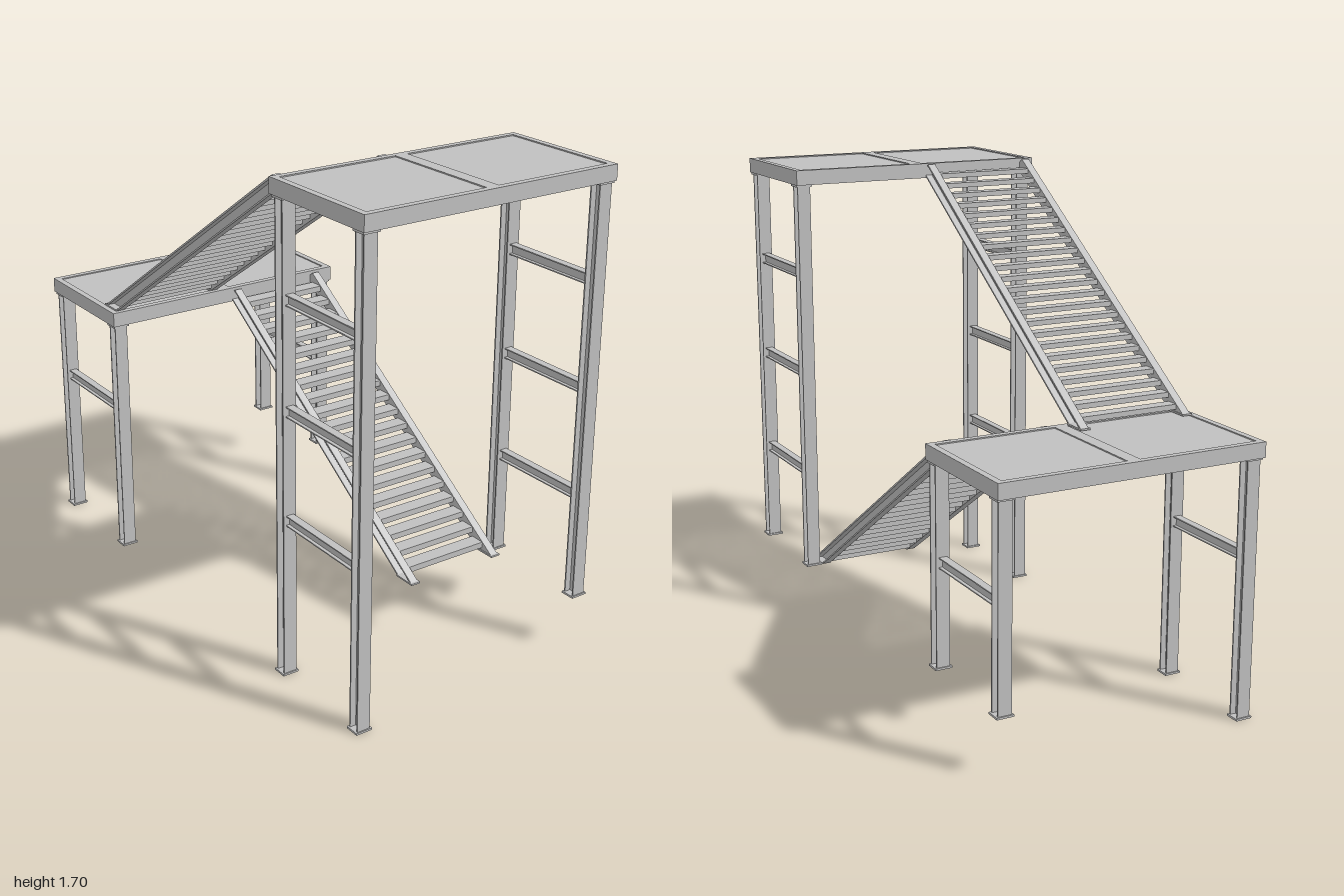
import * as THREE from 'three';

const steel = new THREE.MeshStandardMaterial({ color: 0xc0c0c0 });
steel.name = 'paleGreySteel';

function add(parent, name, geometry) {
  const mesh = new THREE.Mesh(geometry, steel);
  mesh.name = name;
  parent.add(mesh);
  return mesh;
}

function group(parent, name) {
  const g = new THREE.Group();
  g.name = name;
  parent.add(g);
  return g;
}

// Box given by its limits on each axis
function box(parent, name, x0, x1, y0, y1, z0, z1) {
  const g = new THREE.BoxGeometry(x1 - x0, y1 - y0, z1 - z0);
  g.translate((x0 + x1) / 2, (y0 + y1) / 2, (z0 + z1) / 2);
  return add(parent, name, g);
}

// Plate with a (z, y) outline, filling x0..x1
function sidePlate(parent, name, points, x0, x1) {
  const shape = new THREE.Shape(points.map(([z, y]) => new THREE.Vector2(-z, y)));
  const g = new THREE.ExtrudeGeometry(shape, { depth: x1 - x0, bevelEnabled: false });
  g.rotateY(Math.PI / 2);
  g.translate(x0, 0, 0);
  return add(parent, name, g);
}

// Horizontal rectangular ring with the given border width
function ring(parent, name, x0, x1, z0, z1, border, y0, y1) {
  const rect = (T, i) => new T([[x0 + i, -z1 + i], [x1 - i, -z1 + i], [x1 - i, -z0 - i], [x0 + i, -z0 - i]]
    .map(([x, y]) => new THREE.Vector2(x, y)));
  const shape = rect(THREE.Shape, 0);
  shape.holes.push(rect(THREE.Path, border));
  const g = new THREE.ExtrudeGeometry(shape, { depth: y1 - y0, bevelEnabled: false });
  g.rotateX(-Math.PI / 2);
  g.translate(0, y0, 0);
  return add(parent, name, g);
}

// H-section post with base and cap plates
function column(parent, x, z, y0, y1) {
  const c = group(parent, 'column');
  const hx = 0.024, hz = 0.0215, t = 0.005;
  box(c, 'web', x - 0.003, x + 0.003, y0, y1, z - hz + t, z + hz - t);
  for (const s of [-1, 1]) {
    const zc = z + s * (hz - t / 2);
    box(c, 'flange', x - hx, x + hx, y0, y1, zc - t / 2, zc + t / 2);
  }
  box(c, 'basePlate', x - 0.03, x + 0.03, y0, y0 + 0.007, z - 0.026, z + 0.026);
  box(c, 'capPlate', x - 0.03, x + 0.03, y1 - 0.008, y1, z - 0.026, z + 0.026);
}

// I-section rail between two columns
function brace(parent, x, y, z0, z1) {
  const b = group(parent, 'brace');
  const h = 0.0185, w = 0.014, t = 0.004;
  box(b, 'web', x - 0.002, x + 0.002, y - h + t, y + h - t, z0, z1);
  for (const s of [-1, 1]) {
    const yc = y + s * (h - t / 2);
    box(b, 'flange', x - w, x + w, yc - t / 2, yc + t / 2, z0, z1);
  }
}

// Two framed deck bays on four columns
function landing(parent, name, z0, z1, top, columnZ, braceY) {
  const p = group(parent, name);
  const bottom = top - 0.053;
  for (const x0 of [-0.48, 0]) {
    const x1 = x0 + 0.48;
    const bay = group(p, 'deckBay');
    ring(bay, 'frameWeb', x0, x1, z0, z1, 0.005, bottom, top);
    ring(bay, 'topFlange', x0 + 0.005, x1 - 0.005, z0 + 0.005, z1 - 0.005, 0.018, top - 0.004, top);
    ring(bay, 'bottomFlange', x0 + 0.005, x1 - 0.005, z0 + 0.005, z1 - 0.005, 0.018, bottom, bottom + 0.004);
    box(bay, 'deck', x0 + 0.005, x1 - 0.005, top - 0.009, top - 0.004, z0 + 0.005, z1 - 0.005);
  }
  for (const s of [-1, 1]) {
    const x = s * 0.447;
    // the posts on one side stand on higher ground
    for (const z of columnZ) column(p, x, z, s > 0 ? 0.2 : 0, bottom);
    for (const y of braceY) brace(p, x, y, columnZ[0] + 0.0215, columnZ[1] - 0.0215);
  }
}

// Flight of open treads between two channel stringers; dir is the z side of its foot
function stair(parent, name, dir, base, xMin, xMax, treads) {
  const f = group(parent, name);
  const at = pts => pts.map(([z, y]) => [z * dir, y + base]);
  const w = 0.029, t = 0.006;
  const outline = at([[0.62, 0], [0.535, 0], [-0.523, 0.702], [-0.523, 0.73], [-0.5, 0.746]]);
  const upper = at([[0.62, 0], [0.609, 0], [-0.506, 0.742], [-0.5, 0.746]]);
  const lower = at([[0.546, 0], [0.535, 0], [-0.523, 0.702], [-0.523, 0.709]]);
  for (const s of [-1, 1]) {
    const g = group(f, 'stringer');
    const x0 = s < 0 ? xMin : xMax - w;
    const webX = s < 0 ? xMin + w - 0.005 : xMax - w;
    sidePlate(g, 'web', outline, webX, webX + 0.005);
    // flanges turn outward from the web
    const f0 = s < 0 ? x0 : x0 + 0.005;
    sidePlate(g, 'topFlange', upper, f0, f0 + w - 0.005);
    sidePlate(g, 'bottomFlange', lower, f0, f0 + w - 0.005);
    const zs = [0.535 * dir, 0.62 * dir].sort((a, b) => a - b);
    box(g, 'footPlate', x0 - 0.004, x0 + w + 0.004, base, base + t, zs[0], zs[1]);
  }
  // folded treads: top plate with front and back lips
  const rise = 0.746 / treads, going = 1.12 / treads, lip = rise * 0.58;
  const span = (n, y0, y1, a, b) =>
    box(f, n, xMin + w, xMax - w, y0, y1, Math.min(a * dir, b * dir), Math.max(a * dir, b * dir));
  for (let i = 1; i < treads; i++) {
    const y = base + i * rise, nose = 0.62 - i * going, back = nose - going;
    span('tread', y - 0.004, y, back, nose);
    span('treadFrontLip', y - lip, y - 0.004, nose - 0.004, nose);
    span('treadBackLip', y - lip, y - 0.004, back, back + 0.004);
  }
}

export function createModel() {
  const model = new THREE.Group();
  model.name = 'stairTower';
  landing(model, 'upperLanding', 0.517, 1, 1.698, [0.556, 0.967], [1.32, 0.95, 0.57]);
  landing(model, 'lowerLanding', -1, -0.517, 0.95, [-0.964, -0.548], [0.565]);
  stair(model, 'lowerStair', 1, 0.2, 0.027, 0.411, 20);
  stair(model, 'upperStair', -1, 0.95, -0.456, -0.031, 24);
  return model;
}
